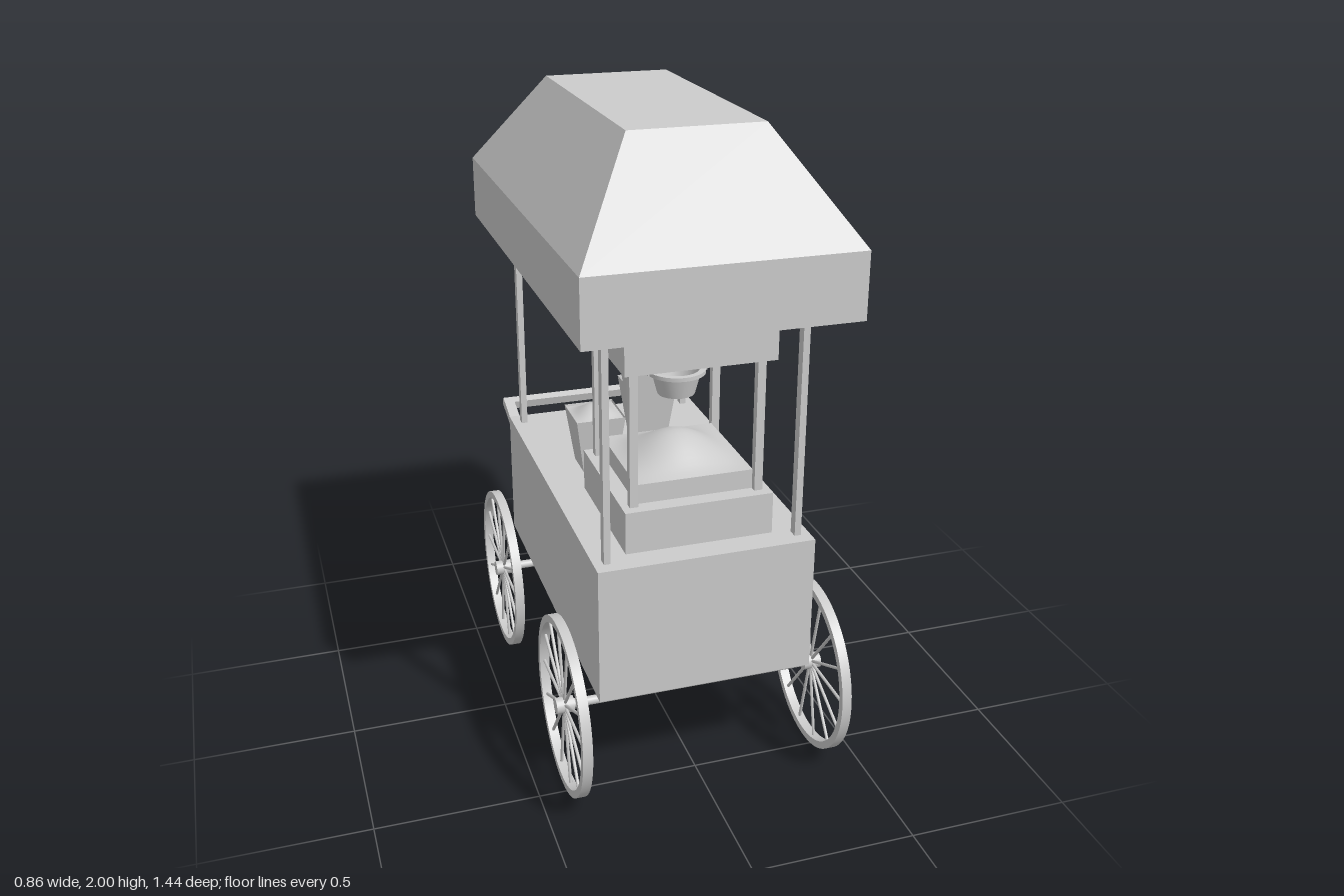
import * as THREE from 'three';
import { toCreasedNormals } from 'three/addons/utils/BufferGeometryUtils.js';

const grey = new THREE.MeshStandardMaterial({ color: 0xcccccc });
const greyDouble = new THREE.MeshStandardMaterial({ color: 0xcccccc, side: THREE.DoubleSide });

function add(parent, name, geometry, x = 0, y = 0, z = 0, material = grey) {
  const mesh = new THREE.Mesh(geometry, material);
  mesh.name = name;
  mesh.position.set(x, y, z);
  parent.add(mesh);
  return mesh;
}

// Box given by its bottom height y0 and top height y1
function block(parent, name, w, d, y0, y1, x = 0, z = 0) {
  return add(parent, name, new THREE.BoxGeometry(w, y1 - y0, d), x, (y0 + y1) / 2, z);
}

// Tapered box standing on y = 0, with chosen faces left open (2 = top, 3 = bottom)
function taper([w0, d0], [w1, d1], h, open = []) {
  const g = new THREE.BoxGeometry(1, h, 1).translate(0, h / 2, 0);
  const p = g.attributes.position;
  for (let i = 0; i < p.count; i++) {
    const top = p.getY(i) > h / 2;
    p.setX(i, p.getX(i) * (top ? w1 : w0));
    p.setZ(i, p.getZ(i) * (top ? d1 : d0));
  }
  g.setIndex([...g.index.array].filter((_, i) => !open.includes(Math.floor(i / 6))));
  const flat = g.toNonIndexed();
  flat.computeVertexNormals();
  return flat;
}

// Square heap of popcorn, highest in the middle
function heap(size, height) {
  const g = new THREE.PlaneGeometry(size, size, 16, 16).rotateX(-Math.PI / 2);
  const p = g.attributes.position;
  const bell = (t) => Math.cos((t / size) * Math.PI) ** 1.5 || 0;
  for (let i = 0; i < p.count; i++) {
    p.setY(i, height * bell(p.getX(i)) * bell(p.getZ(i)));
  }
  g.computeVertexNormals();
  return g;
}

// Spoked wheel, axle along x
function makeWheel() {
  const wheel = new THREE.Group();
  wheel.name = 'wheel';
  const ring = new THREE.Shape().absarc(0, 0, 0.275, 0, Math.PI * 2);
  ring.holes.push(new THREE.Path().absarc(0, 0, 0.252, 0, Math.PI * 2, true));
  const rim = new THREE.ExtrudeGeometry(ring, { depth: 0.03, bevelEnabled: false, curveSegments: 40 });
  rim.translate(0, 0, -0.015).rotateY(Math.PI / 2);
  add(wheel, 'rim', toCreasedNormals(rim, 0.6));
  add(wheel, 'hub', new THREE.CylinderGeometry(0.025, 0.025, 0.055, 20).rotateZ(Math.PI / 2));
  const spokes = 14;
  for (let i = 0; i < spokes; i++) {
    const spoke = new THREE.CylinderGeometry(0.005, 0.005, 0.24, 8);
    spoke.translate(0, 0.138, 0).rotateX(Math.PI / 2 + (i / spokes) * Math.PI * 2);
    add(wheel, 'spoke', spoke);
  }
  return wheel;
}

export function createModel() {
  const cart = new THREE.Group();
  cart.name = 'popcornCart';

  // Body
  block(cart, 'body', 0.66, 1.16, 0.37, 0.8, 0, 0.01);

  // Axles, struts and wheels
  for (const z of [0.445, -0.435]) {
    const axle = new THREE.CylinderGeometry(0.014, 0.014, 0.82, 16).rotateZ(Math.PI / 2);
    add(cart, 'axle', axle, 0, 0.28, z);
    for (const side of [-1, 1]) {
      block(cart, 'axleStrut', 0.02, 0.02, 0.28, 0.38, side * 0.248, z);
      const wheel = makeWheel();
      wheel.position.set(side * 0.402, 0.28, z);
      cart.add(wheel);
    }
  }

  // Canopy: open valance and hollow hipped roof on four posts
  const canopy = new THREE.Group();
  canopy.name = 'canopy';
  canopy.position.z = 0.005;
  cart.add(canopy);
  const eaves = [0.79, 1.385];
  add(canopy, 'valance', taper(eaves, eaves, 0.195, [2, 3]), 0, 1.505, 0, greyDouble);
  add(canopy, 'roof', taper(eaves, [0.394, 0.872], 0.3, [3]), 0, 1.7, 0, greyDouble);
  for (const x of [-0.291, 0.291]) {
    for (const z of [0.535, -0.517]) block(cart, 'canopyPost', 0.02, 0.03, 0.8, 1.8, x, z);
  }

  // Popping machine
  const machine = new THREE.Group();
  machine.name = 'poppingMachine';
  machine.position.z = 0.282;
  cart.add(machine);
  block(machine, 'machineBase', 0.45, 0.455, 0.8, 0.93);
  block(machine, 'machineTop', 0.45, 0.455, 1.345, 1.48);
  block(machine, 'popcornTray', 0.355, 0.355, 0.93, 0.99);
  add(machine, 'popcornHeap', heap(0.355, 0.075), 0, 0.99, 0, greyDouble);
  for (const x of [-0.19, 0.19]) {
    for (const z of [-0.185, 0.185]) block(machine, 'machinePost', 0.025, 0.025, 0.93, 1.345, x, z);
  }

  // Kettle hung from the machine top
  const profile = [[0, 1.187], [0.056, 1.187], [0.073, 1.252], [0.088, 1.252],
    [0.088, 1.264], [0.07, 1.264], [0.052, 1.198], [0, 1.198]];
  const kettle = new THREE.LatheGeometry(profile.map(([x, y]) => new THREE.Vector2(x, y)), 28);
  add(machine, 'kettle', toCreasedNormals(kettle, 0.5));
  for (const side of [-1, 1]) block(machine, 'kettleHanger', 0.012, 0.03, 1.252, 1.345, side * 0.085);

  // Stack of empty cups and one filled cup
  const cup = taper([0.11, 0.11], [0.16, 0.16], 0.185, [2]);
  for (let i = 0; i < 3; i++) add(cart, 'stackedCup', cup, 0.095, 0.8 + i * 0.085, -0.31, greyDouble);
  add(cart, 'filledCup', cup, -0.143, 0.8, -0.11, greyDouble);
  add(cart, 'cupPopcorn', heap(0.156, 0.035), -0.143, 0.978, -0.11, greyDouble);

  // Push handle, sloping up behind the body
  const handle = new THREE.Group();
  handle.name = 'pushHandle';
  handle.position.set(0, 0.754, -0.565);
  handle.rotation.x = 0.29;
  cart.add(handle);
  for (const side of [-1, 1]) {
    add(handle, 'handleArm', new THREE.BoxGeometry(0.035, 0.03, 0.16), side * 0.304, 0, -0.08);
  }
  add(handle, 'handleBar', new THREE.BoxGeometry(0.644, 0.03, 0.03), 0, 0, -0.145);

  return cart;
}
